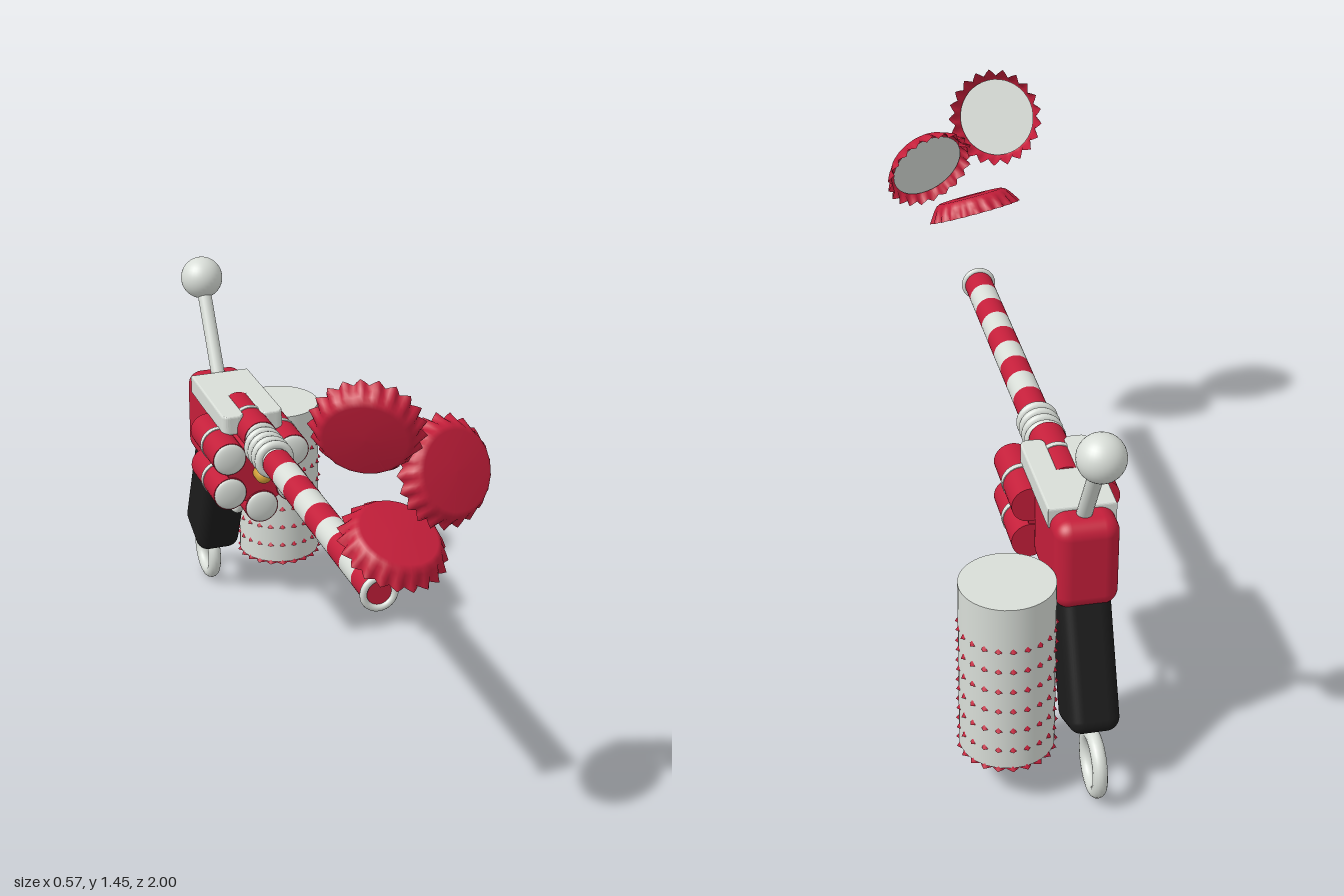
import * as THREE from 'three';
import { RoundedBoxGeometry } from 'three/addons/geometries/RoundedBoxGeometry.js';

const mat = (name, color) => {
  const m = new THREE.MeshStandardMaterial({ color, side: THREE.DoubleSide });
  m.name = name;
  return m;
};

export function createModel() {
  const red = mat('red', 0xc41e3a);
  const white = mat('offWhite', 0xd8ddd7);
  const black = mat('black', 0x1b1b1b);
  const gold = mat('gold', 0xd4a03a);

  const model = new THREE.Group();
  model.name = 'capBlaster';
  const gun = new THREE.Group();
  gun.name = 'gun';
  gun.position.x = -0.07;
  model.add(gun);

  const add = (parent, name, geo, material, x = 0, y = 0, z = 0) => {
    const m = new THREE.Mesh(geo, material);
    m.name = name;
    m.position.set(x, y, z);
    parent.add(m);
    return m;
  };
  // Cylinder lying along z between two z values
  const tubeZ = (name, r, z0, z1, material, x, y, sides = 32) =>
    add(gun, name, new THREE.CylinderGeometry(r, r, z1 - z0, sides).rotateX(Math.PI / 2), material, x, y, (z0 + z1) / 2);

  // Striped barrel with muzzle lip
  const barrelY = 0.765, back = -0.125, step = 0.86 / 9;
  for (let i = 0; i < 9; i++)
    tubeZ('barrelStripe', 0.045, back + i * step, back + (i + 1) * step, i % 2 ? white : red, 0, barrelY);
  add(gun, 'muzzleLip', new THREE.TorusGeometry(0.045, 0.01, 12, 36), white, 0, barrelY, 0.735);

  // Coil rings behind the barrel
  tubeZ('coilCore', 0.042, -0.3, back, white, 0, barrelY);
  for (let i = 0; i < 4; i++)
    add(gun, 'coilRing', new THREE.TorusGeometry(0.048, 0.014, 12, 36), white, 0, barrelY, -0.152 - i * 0.035);

  // Six chambers around a hub
  const hubY = 0.665;
  tubeZ('hub', 0.105, -0.52, -0.285, red, 0, hubY);
  for (let i = 0; i < 6; i++) {
    const a = Math.PI / 2 + i * Math.PI / 3;
    const x = 0.117 * Math.cos(a), y = hubY + 0.117 * Math.sin(a);
    tubeZ('chamber', 0.053, -0.525, -0.28, red, x, y);
    tubeZ('chamberBand', 0.0555, -0.411, -0.393, white, x, y);
    const dome = new THREE.SphereGeometry(0.051, 28, 14, 0, Math.PI * 2, 0, Math.PI / 2).rotateX(Math.PI / 2);
    add(gun, 'chamberDome', dome, white, x, y, -0.281).scale.z = 0.3;
  }
  tubeZ('hubPin', 0.026, -0.3, -0.258, gold, 0, hubY);
  add(gun, 'hubPinTip', new THREE.SphereGeometry(0.026, 24, 16), gold, 0, hubY, -0.258);

  // Frame and slotted top plate
  add(gun, 'frame', new RoundedBoxGeometry(0.18, 0.275, 0.31, 5, 0.045), red, 0, 0.682, -0.648);
  const plate = new THREE.Shape();
  plate.moveTo(-0.09, 0.71);
  plate.lineTo(-0.093, 0.38);
  plate.quadraticCurveTo(-0.093, 0.36, -0.075, 0.36);
  plate.lineTo(-0.05, 0.36);
  plate.quadraticCurveTo(-0.032, 0.36, -0.032, 0.38);
  plate.lineTo(-0.032, 0.525);
  plate.lineTo(0.032, 0.525);
  plate.lineTo(0.032, 0.38);
  plate.quadraticCurveTo(0.032, 0.36, 0.05, 0.36);
  plate.lineTo(0.075, 0.36);
  plate.quadraticCurveTo(0.093, 0.36, 0.093, 0.38);
  plate.lineTo(0.09, 0.71);
  const plateGeo = new THREE.ExtrudeGeometry(plate, {
    depth: 0.048, bevelSize: 0.005, bevelThickness: 0.007, bevelSegments: 3, curveSegments: 6,
  }).rotateX(-Math.PI / 2);
  add(gun, 'topPlate', plateGeo, white, 0, 0.775, 0);

  // Hammer lever and knob
  const foot = new THREE.Vector3(0, 0.78, -0.71), tip = new THREE.Vector3(0, 1.09, -0.895);
  const lever = new THREE.LineCurve3(foot, tip);
  add(gun, 'hammerLever', new THREE.TubeGeometry(lever, 1, 0.022, 20), white);
  add(gun, 'hammerKnob', new THREE.SphereGeometry(0.067, 32, 20), white, tip.x, tip.y, tip.z);

  // Grip, trigger guard and lanyard ring
  add(gun, 'grip', new RoundedBoxGeometry(0.145, 0.42, 0.19, 5, 0.04), black, 0, 0.381, -0.768).rotation.x = 0.4;
  add(gun, 'triggerGuard', new THREE.TorusGeometry(0.088, 0.014, 12, 40).rotateY(Math.PI / 2), white, 0, 0.497, -0.58);
  add(gun, 'lanyardRing', new THREE.TorusGeometry(0.081, 0.021, 14, 44).rotateY(Math.PI / 2), white, 0, 0.102, -0.898);

  // Crimped cap: a lathe whose skirt is pushed in and out, opening at y = 0
  const teeth = 21;
  const profile = [[0.143, 0], [0.134, 0.02], [0.126, 0.036], [0.117, 0.048], [0.105, 0.054], [0, 0.056]];
  const capGeo = new THREE.LatheGeometry(profile.map(p => new THREE.Vector2(...p)), teeth * 4);
  const pos = capGeo.attributes.position;
  for (let i = 0; i < pos.count; i++) {
    const x = pos.getX(i), y = pos.getY(i), z = pos.getZ(i);
    const t = (Math.atan2(z, x) / (Math.PI * 2) + 1) * teeth;
    const wave = 1 - 4 * Math.abs(t - Math.round(t));
    const k = 1 + 0.068 * wave * Math.max(0, 1 - y / 0.05);
    pos.setXYZ(i, x * k, y, z * k);
  }
  capGeo.computeVertexNormals();
  const linerGeo = new THREE.CircleGeometry(0.12, 40).rotateX(Math.PI / 2);

  // Three caps flying above the muzzle: rim centre, then outward direction
  const flying = [
    [[-0.145, 1.3, 0.83], [-0.5, -0.35, 1]],
    [[0.067, 1.14, 0.825], [0.35, 0.4, 1]],
    [[-0.083, 0.963, 0.858], [0.2, 1, 0.45]],
  ];
  const up = new THREE.Vector3(0, 1, 0);
  for (const [p, n] of flying) {
    const cap = new THREE.Group();
    cap.name = 'flyingCap';
    cap.position.set(...p);
    cap.quaternion.setFromUnitVectors(up, new THREE.Vector3(...n).normalize());
    add(cap, 'capShell', capGeo, red);
    add(cap, 'capLiner', linerGeo, white, 0, 0.022, 0);
    model.add(cap);
  }

  // Canister with stacked caps whose teeth poke through the wall
  const can = new THREE.Group();
  can.name = 'capCanister';
  can.position.set(0.151, 0, -0.786);
  model.add(can);
  add(can, 'canisterWall', new THREE.CylinderGeometry(0.133, 0.133, 0.53, 48), white, 0, 0.4, 0);
  for (let i = 0; i < 7; i++)
    add(can, 'stackedCap', capGeo, red, 0, 0.127 + i * 0.0665, 0).scale.setScalar(0.928);
  return model;
}
